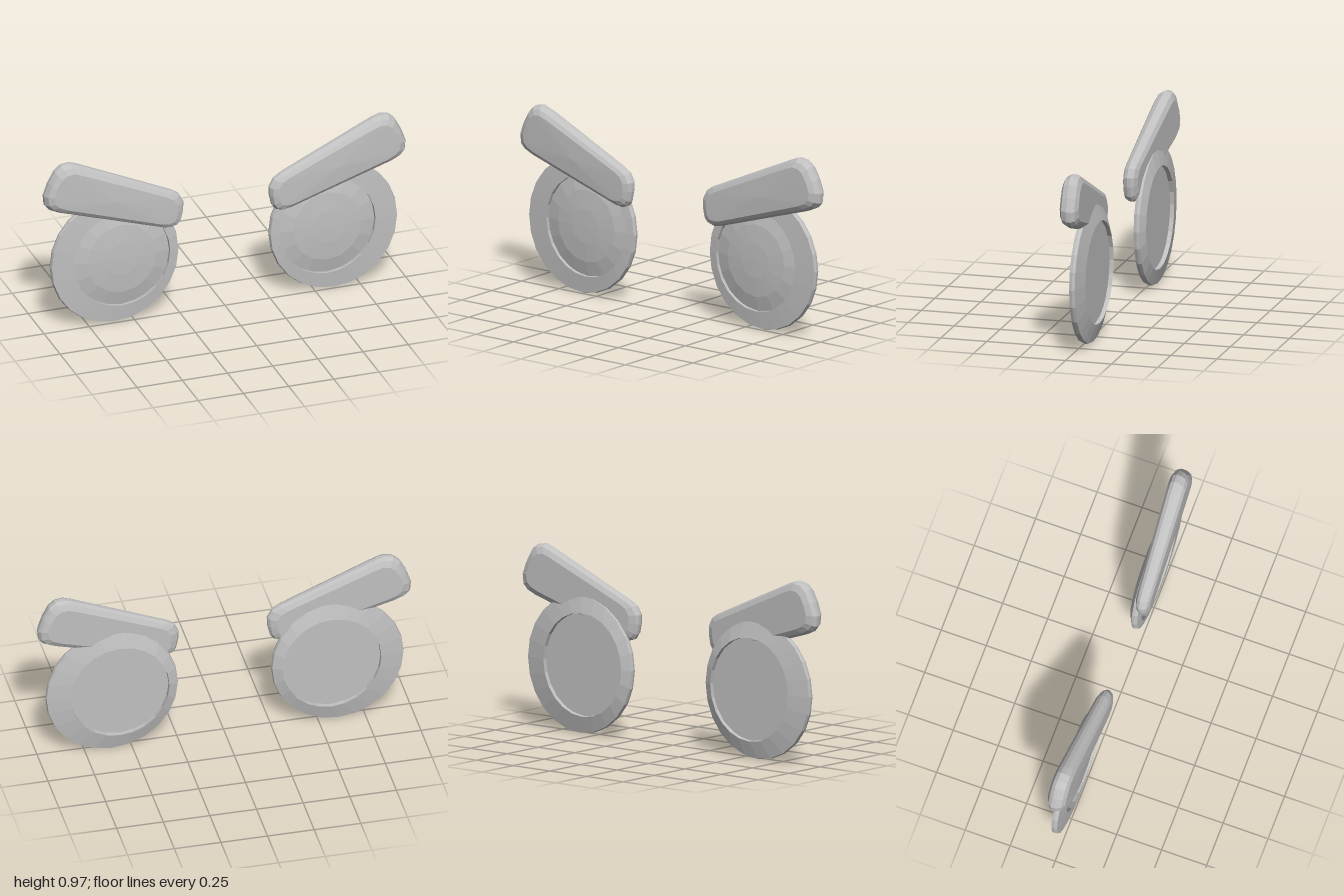
import * as THREE from 'three';

const grey = new THREE.MeshStandardMaterial({ color: 0xc0c0c0, flatShading: true });
grey.name = 'plain grey';

// Skin a list of counter-clockwise loops ordered so faces point outward; side -1 mirrors in x.
function loft(loops, side, closed = false) {
  const n = loops[0].length, pos = [], index = [];
  for (const loop of loops) for (const [x, y, z] of loop) pos.push(x * side, y, z);
  const rows = closed ? loops.length : loops.length - 1;
  for (let r = 0; r < rows; r++) {
    const s = (r + 1) % loops.length;
    for (let i = 0; i < n; i++) {
      const j = (i + 1) % n;
      const a = r * n + i, b = r * n + j, c = s * n + j, d = s * n + i;
      if (side > 0) index.push(a, b, c, a, c, d);
      else index.push(a, c, b, a, d, c);
    }
  }
  const g = new THREE.BufferGeometry();
  g.setAttribute('position', new THREE.Float32BufferAttribute(pos, 3));
  g.setIndex(index);
  g.computeVertexNormals();
  return g;
}

function ellipse(cx, cy, rx, ry, z, n = 24) {
  return Array.from({ length: n }, (_, i) => {
    const a = (i / n) * Math.PI * 2;
    return [cx + rx * Math.cos(a), cy + ry * Math.sin(a), z];
  });
}

// Rim: flat front, upright edge, conical back, off-centre hole
function rimGeometry(side) {
  return loft([
    ellipse(0.568, 0.368, 0.265, 0.275, -0.06),
    ellipse(0.605, 0.367, 0.352, 0.364, -0.037),
    ellipse(0.605, 0.367, 0.355, 0.367, -0.022),
    ellipse(0.605, 0.367, 0.35, 0.362, -0.006),
    ellipse(0.568, 0.368, 0.265, 0.273, 0.002),
  ], side, true);
}

// Lens: flat recessed back and shallow faceted dome in front
function lensGeometry(side) {
  const ring = (r, z) => ellipse(0.568, 0.368, r, r * 1.03, z, 16);
  return loft([ring(0, -0.037), ring(0.268, -0.037), ring(0.268, -0.018),
    ring(0.19, 0), ring(0.09, 0.008), ring(0, 0.01)], side);
}

// Brow: rounded, tapering bar with bevelled front and back
const browOutline = [
  [0.27, 0.53], [0.305, 0.518], [0.345, 0.522], [0.62, 0.605], [0.92, 0.695],
  [0.97, 0.718], [0.995, 0.745], [1, 0.8], [0.975, 0.87], [0.94, 0.935],
  [0.905, 0.965], [0.86, 0.972], [0.815, 0.957], [0.56, 0.845], [0.3, 0.73],
  [0.262, 0.705], [0.238, 0.66], [0.24, 0.61], [0.252, 0.555],
];

function browGeometry(side) {
  const cx = 0.62, cy = 0.73, tilt = 0.37;
  const ux = Math.cos(tilt), uy = Math.sin(tilt);
  // Each layer: lengthwise scale, height scale, depth at outer end, depth at inner end
  const layers = [
    [0, 0, -0.06, -0.02], [0.89, 0.72, -0.06, -0.02], [0.97, 0.92, -0.045, -0.008],
    [1, 1, -0.025, 0.008], [1, 1, -0.002, 0.025], [0.97, 0.89, 0.028, 0.047],
    [0.9, 0.73, 0.043, 0.058], [0, 0, 0.051, 0.06],
  ];
  return loft(layers.map(([su, sv, zOut, zIn]) => browOutline.map(([x, y]) => {
    const u = ((x - cx) * ux + (y - cy) * uy) * su;
    const v = ((y - cy) * ux - (x - cx) * uy) * sv;
    const px = cx + u * ux - v * uy, py = cy + u * uy + v * ux;
    const t = (px - 0.24) / 0.76;
    return [px, py, zIn + (zOut - zIn) * t];
  })), side);
}

export function createModel() {
  const model = new THREE.Group();
  model.name = 'eyesAndBrows';
  const parts = { Rim: rimGeometry, Lens: lensGeometry, Brow: browGeometry };
  for (const [label, side] of [['left', 1], ['right', -1]]) {
    const group = new THREE.Group();
    group.name = label + 'Eye';
    for (const [part, build] of Object.entries(parts)) {
      const mesh = new THREE.Mesh(build(side), grey);
      mesh.name = label + part;
      group.add(mesh);
    }
    model.add(group);
  }
  return model;
}
